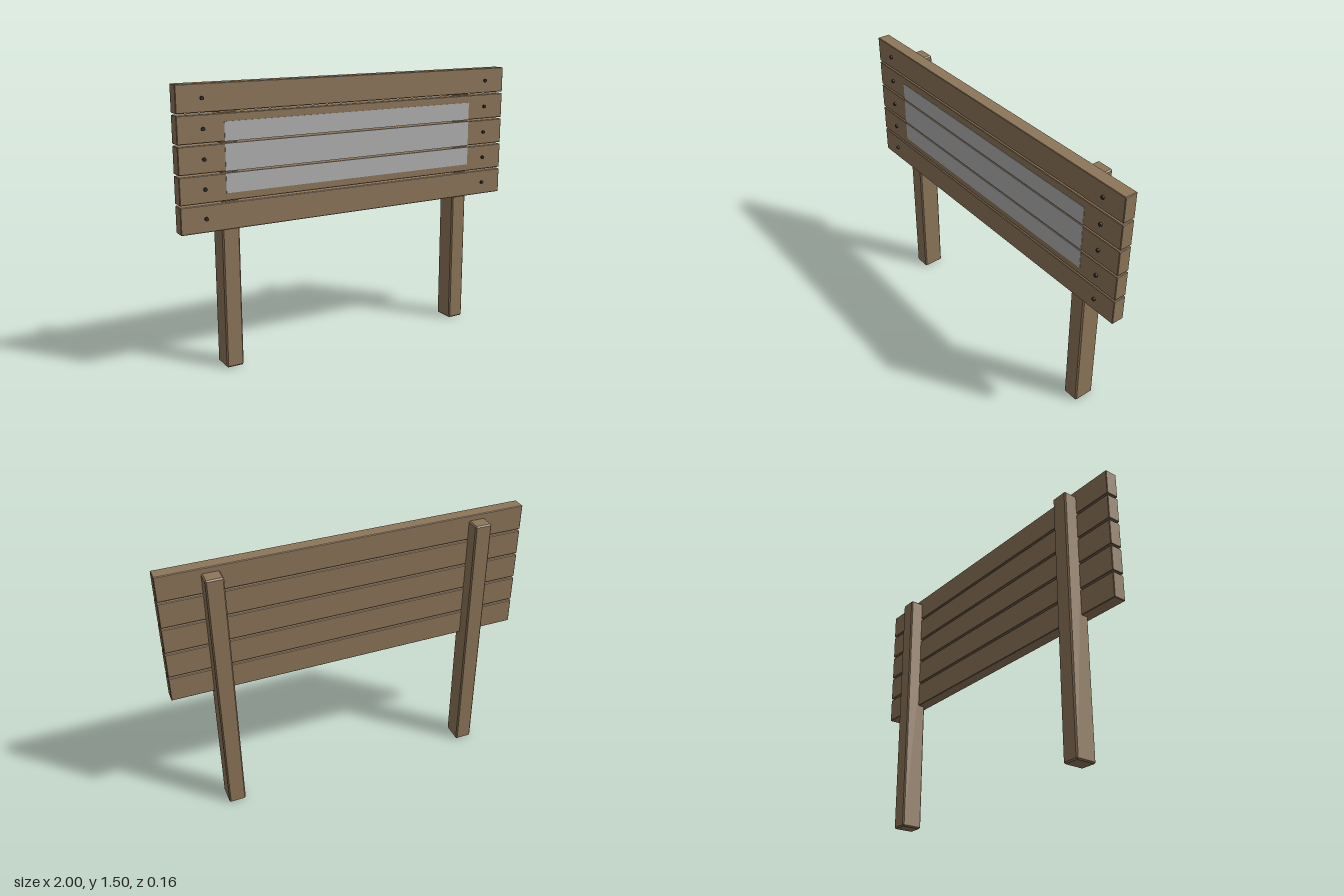
import * as THREE from 'three';
import { ConvexGeometry } from 'three/addons/geometries/ConvexGeometry.js';

// Box with flat chamfers on every edge
function chamferBox(w, h, d, c) {
  const points = [];
  const size = [w / 2, h / 2, d / 2];
  for (const sx of [-1, 1]) for (const sy of [-1, 1]) for (const sz of [-1, 1]) {
    for (let axis = 0; axis < 3; axis++) {
      const p = size.map((s, i) => (i === axis ? s : s - c));
      points.push(new THREE.Vector3(sx * p[0], sy * p[1], sz * p[2]));
    }
  }
  return new ConvexGeometry(points);
}

export function createModel() {
  const group = new THREE.Group();
  const wood = new THREE.MeshStandardMaterial({ color: 0x8d7559 });
  wood.name = 'wood';
  const metal = new THREE.MeshStandardMaterial({ color: 0x2a2a2a });
  metal.name = 'dark metal';
  const paint = new THREE.MeshStandardMaterial({ color: 0xb0b0b0 });
  paint.name = 'grey panel';

  function add(name, geometry, material, x, y, z) {
    const mesh = new THREE.Mesh(geometry, material);
    mesh.name = name;
    mesh.position.set(x, y, z);
    group.add(mesh);
  }

  // Two upright posts, set partly into the backs of the planks
  const postGeometry = chamferBox(0.095, 1.466, 0.12, 0.007);
  add('leftPost', postGeometry, wood, 0.725, 0.733, -0.017);
  add('rightPost', postGeometry, wood, -0.725, 0.733, -0.017);

  // Five planks with a bolt near each end
  const plankHeight = 0.14, pitch = 0.1497, panelBottom = 0.946, panelTop = 1.306;
  const plankGeometry = chamferBox(2, plankHeight, 0.071, 0.003);
  const boltGeometry = new THREE.CylinderGeometry(0.01, 0.01, 0.011, 12).rotateX(Math.PI / 2);
  for (let i = 0; i < 5; i++) {
    const y = 0.828 + i * pitch;
    add(`plank${i + 1}`, plankGeometry, wood, 0, y, 0.0345);
    for (const side of [1, -1]) {
      add(`${side > 0 ? 'left' : 'right'}Bolt${i + 1}`, boltGeometry, metal, side * 0.867, y, 0.0735);
    }

    // Grey sign panel, laid on each plank it crosses so the gaps stay open
    const low = Math.max(panelBottom, y - plankHeight / 2);
    const high = Math.min(panelTop, y + plankHeight / 2);
    if (high > low) {
      add(`panelStrip${i + 1}`, new THREE.BoxGeometry(1.51, high - low, 0.002), paint, 0, (low + high) / 2, 0.071);
    }
  }
  return group;
}
